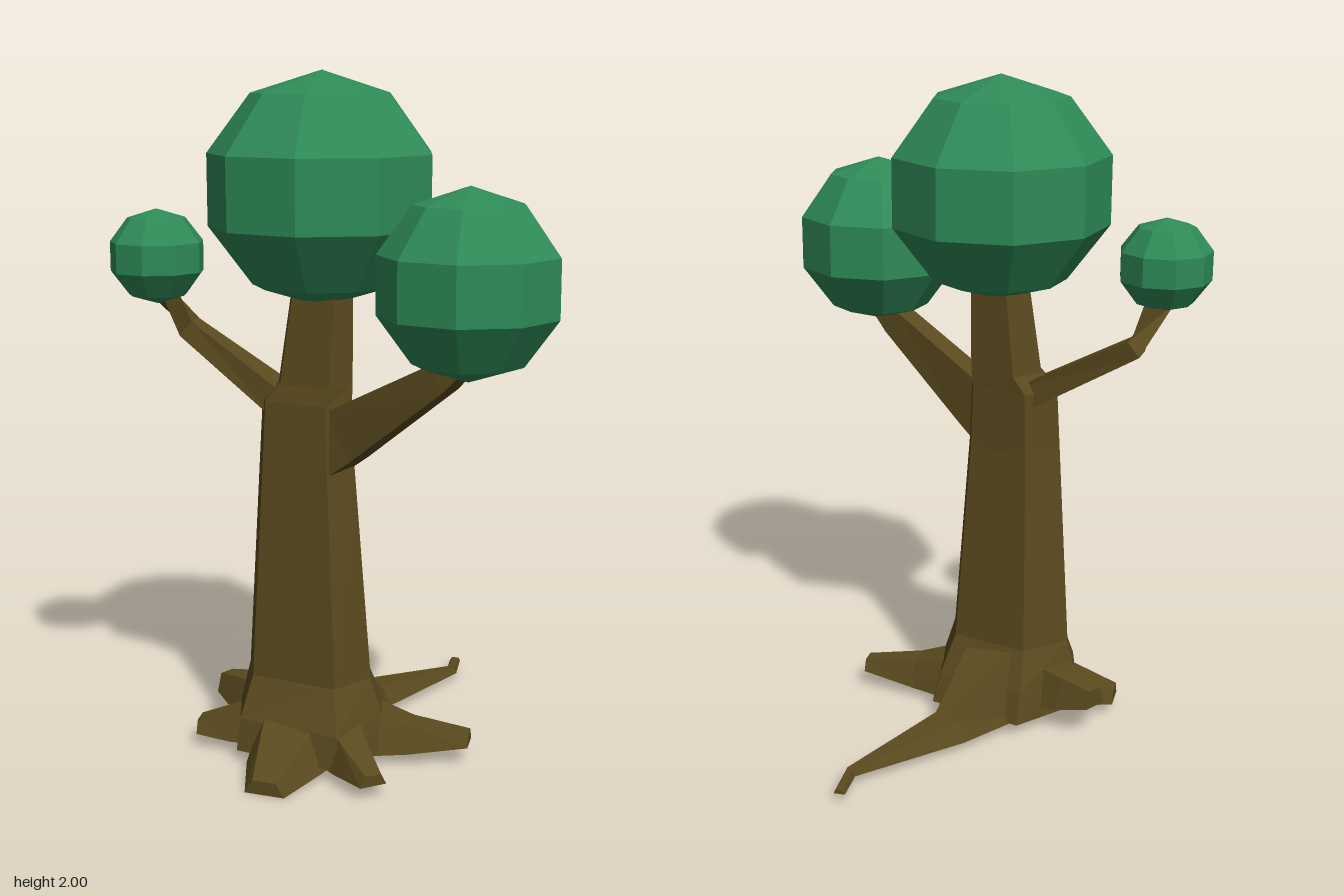
import * as THREE from 'three';

const bark = new THREE.MeshStandardMaterial({ color: 0x5a4a1e, flatShading: true });
const leaf = new THREE.MeshStandardMaterial({ color: 0x2e8b57, flatShading: true });

// Closed solid through a list of rings, each counter-clockwise seen from the far end
function loft(rings) {
  const pos = [];
  const tri = (...pts) => pts.forEach((p) => pos.push(p.x, p.y, p.z));
  const n = rings[0].length;
  for (let r = 0; r < rings.length - 1; r++) {
    const a = rings[r], b = rings[r + 1];
    for (let i = 0; i < n; i++) {
      const j = (i + 1) % n;
      tri(a[i], a[j], b[j]);
      tri(a[i], b[j], b[i]);
    }
  }
  const first = rings[0], last = rings[rings.length - 1];
  for (let i = 1; i < n - 1; i++) {
    tri(first[0], first[i + 1], first[i]);
    tri(last[0], last[i], last[i + 1]);
  }
  const geo = new THREE.BufferGeometry();
  geo.setAttribute('position', new THREE.Float32BufferAttribute(pos, 3));
  geo.computeVertexNormals();
  return geo;
}

// Four-sided tapering limb; sections are [x, y, z, halfWidth, halfHeight]
function limb(sections, topRatio, upright) {
  const Y = new THREE.Vector3(0, 1, 0);
  const pts = sections.map(([x, y, z]) => new THREE.Vector3(x, y, z));
  return loft(sections.map(([, , , hw, hh], i) => {
    const before = pts[Math.max(i - 1, 0)], after = pts[Math.min(i + 1, pts.length - 1)];
    const dir = after.clone().sub(before).normalize();
    const side = Y.clone().cross(dir).normalize();
    const up = upright ? Y : dir.clone().cross(side);
    const corner = (s, u) => pts[i].clone().addScaledVector(side, s * hw).addScaledVector(up, u * hh);
    return [corner(-1, -1), corner(1, -1), corner(topRatio, 1), corner(-topRatio, 1)];
  }));
}

export function createModel() {
  const tree = new THREE.Group();
  tree.name = 'tree';
  const add = (name, geo, mat) => {
    const mesh = new THREE.Mesh(geo, mat);
    mesh.name = name;
    tree.add(mesh);
    return mesh;
  };

  // Trunk: one six-sided outline fitted to [y, xMin, xMax, zMin, zMax] at each level
  const outline = [[1, 0.5], [0.87, 0.08], [0.25, 0], [0, 0.5], [0.15, 0.92], [0.84, 1]];
  const levels = [
    [0.035, -0.34, 0.15, -0.02, 0.40],
    [0.13, -0.33, 0.13, 0.01, 0.38],
    [0.25, -0.30, 0.09, 0.065, 0.32],
    [0.88, -0.26, 0.04, 0.1, 0.285],
    [1.07, -0.25, 0.03, 0.1, 0.275],
    [1.12, -0.2, 0.03, 0.1, 0.265],
    [1.45, -0.15, 0.03, 0.11, 0.24],
  ];
  add('trunk', loft(levels.map(([y, x0, x1, z0, z1]) =>
    outline.map(([u, v]) => new THREE.Vector3(x0 + u * (x1 - x0), y, z0 + v * (z1 - z0))))), bark);

  // Branches
  const branches = {
    leftBranch: [[-0.05, 0.94, 0.215, 0.05, 0.09], [0.03, 0.985, 0.235, 0.045, 0.08],
      [0.35, 1.19, 0.325, 0.04, 0.042], [0.44, 1.27, 0.345, 0.035, 0.03]],
    rightBranch: [[-0.15, 1.04, 0.185, 0.06, 0.04], [-0.51, 1.25, 0.135, 0.04, 0.028],
      [-0.55, 1.38, 0.23, 0.03, 0.03]],
  };
  for (const [name, s] of Object.entries(branches)) add(name, limb(s, 0.85, false), bark);

  // Roots spreading over the ground
  const roots = {
    backRoot: [[-0.09, 0.14, 0.1, 0.14, 0.11], [-0.04, 0.06, -0.15, 0.075, 0.03],
      [0.118, 0.038, -0.48, 0.02, 0.009], [0.095, 0.034, -0.59, 0.017, 0.005]],
    leftRoot: [[0, 0.1, 0.17, 0.13, 0.07], [0.2, 0.073, 0.14, 0.07, 0.04],
      [0.37, 0.073, 0.11, 0.04, 0.018]],
    frontLeftRoot: [[0, 0.1, 0.25, 0.1, 0.065], [0.1, 0.075, 0.36, 0.065, 0.045],
      [0.2, 0.055, 0.455, 0.04, 0.016]],
    frontRoot: [[-0.11, 0.11, 0.25, 0.15, 0.08], [-0.1, 0.07, 0.39, 0.12, 0.05],
      [-0.095, 0.02, 0.545, 0.06, 0.02]],
    frontRightRoot: [[-0.2, 0.1, 0.22, 0.1, 0.06], [-0.33, 0.075, 0.25, 0.07, 0.04],
      [-0.435, 0.06, 0.27, 0.045, 0.02]],
    backRightRoot: [[-0.22, 0.12, 0.17, 0.1, 0.07], [-0.34, 0.125, 0.12, 0.07, 0.05],
      [-0.435, 0.13, 0.085, 0.04, 0.028]],
  };
  for (const [name, s] of Object.entries(roots)) add(name, limb(s, 0.6, true), bark);

  // Foliage balls: nine sides, five bands, one corner towards +x
  const foliage = [
    ['mainFoliage', -0.065, 1.67, 0.17, 0.342, 0.33],
    ['leftFoliage', 0.427, 1.445, 0.345, 0.26, 0.26],
    ['rightFoliage', -0.5515, 1.472, 0.25, 0.1435, 0.1375],
  ];
  for (const [name, x, y, z, r, h] of foliage) {
    const ball = add(name, new THREE.SphereGeometry(1, 9, 5), leaf);
    ball.scale.set(r, h, r);
    ball.rotation.y = Math.PI;
    ball.position.set(x, y, z);
  }
  return tree;
}
